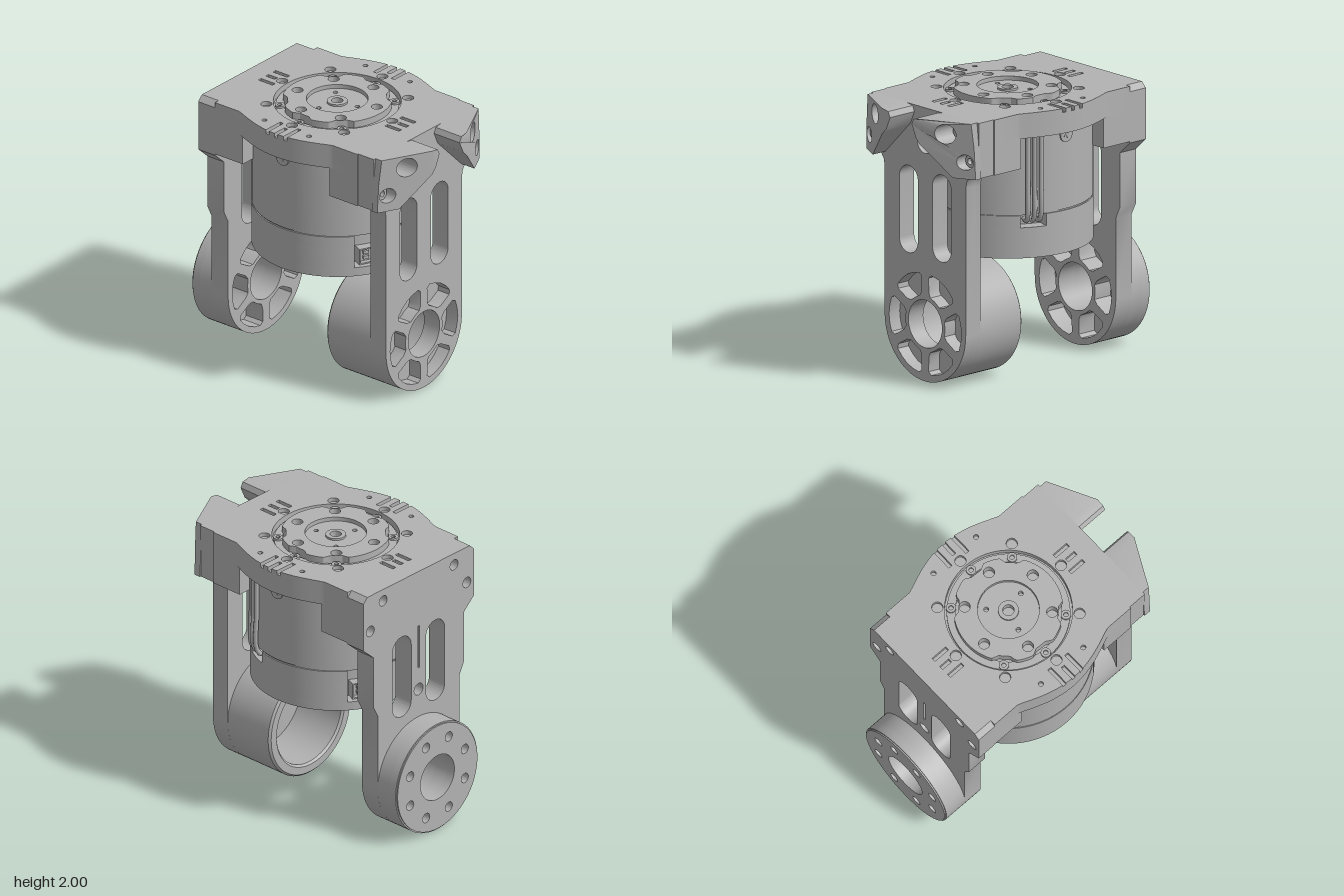
import * as THREE from 'three';
import { toCreasedNormals } from 'three/addons/utils/BufferGeometryUtils.js';

const metal = new THREE.MeshStandardMaterial({ color: 0xb2b2b2 });
metal.name = 'grey metal';
const CX = -0.02; // motor axis
const rad = THREE.MathUtils.degToRad;

export function createModel() {
  const model = new THREE.Group();
  const add = (name, geo, parent = model) => {
    const m = new THREE.Mesh(geo, metal);
    m.name = name;
    parent.add(m);
    return m;
  };
  const poly = pts => new THREE.Shape(pts.map(p => new THREE.Vector2(...p)));
  const circle = (x, y, r) => new THREE.Shape().absarc(x, y, r, 0, Math.PI * 2, false);
  const rect = (x0, y0, x1, y1) => poly([[x0, y0], [x1, y0], [x1, y1], [x0, y1]]);
  const slot = (x, y0, y1, r) => new THREE.Shape()
    .absarc(x, y1 - r, r, 0, Math.PI, false).absarc(x, y0 + r, r, Math.PI, Math.PI * 2, false);
  const extrude = (shape, holes, depth) => {
    const s = shape.clone();
    s.holes = [...holes];
    return new THREE.ExtrudeGeometry(s, { depth, bevelEnabled: false, curveSegments: 32 });
  };
  // shape drawn in (-z, y), pushed along x
  const alongX = (shape, holes, x0, x1) =>
    toCreasedNormals(extrude(shape, holes, x1 - x0).rotateY(Math.PI / 2).translate(x0, 0, 0), 0.5);
  // shape drawn in (x, -z), pushed upward
  const alongY = (shape, holes, y0, y1) =>
    toCreasedNormals(extrude(shape, holes, y1 - y0).rotateX(-Math.PI / 2).translate(0, y0, 0), 0.5);
  const box = (x0, x1, y0, y1, z0, z1) => new THREE.BoxGeometry(x1 - x0, y1 - y0, z1 - z0)
    .translate((x0 + x1) / 2, (y0 + y1) / 2, (z0 + z1) / 2);

  // ---- legs ----
  const AY = 0.42, R = 0.415;
  const legOutline = half => {
    const s = new THREE.Shape().absarc(0, AY, R, Math.PI, Math.PI * 2, false);
    half.forEach(p => s.lineTo(...p));
    [...half].reverse().forEach(([u, v]) => s.lineTo(-u, v));
    return s;
  };
  const bore = circle(0, AY, 0.172);
  const slots = [-0.17, 0.17].map(u => slot(u, 0.9, 1.53, 0.095));
  const pockets = [0, 60, 120, 180, 240, 300].map(a => {
    const p = (r, d) => [r * Math.cos(rad(a + d)), AY + r * Math.sin(rad(a + d))];
    return poly([p(0.34, -24), p(0.365, -20), p(0.368, -10), p(0.37, 0), p(0.368, 10), p(0.365, 20),
      p(0.34, 24), p(0.235, 21), p(0.205, 15), p(0.202, 0), p(0.205, -15), p(0.235, -21)]);
  });
  const boltSpots = [[0.36, 1.89], [0.49, 1.7]];

  // left leg with hollow boss on the inside
  const left = legOutline([[R, 1.48], [0.425, 1.53], [0.455, 1.57], [0.5, 1.58], [0.55, 1.58], [0.55, 1.98]]);
  const sight = circle(0, 1.73, 0.08);
  add('leftLegFace', alongX(left, [bore, ...slots, ...pockets, sight], 0.66, 0.76));
  add('leftLegBack', alongX(left, [bore, ...slots, sight], 0.62, 0.66));
  const bossProfile = [[0.33, 0.235], [0.345, 0.22], [0.4, 0.22], [R, 0.235], [R, 0.63], [0.33, 0.63], [0.33, 0.235]]
    .map(p => new THREE.Vector2(...p));
  add('leftBossRing', toCreasedNormals(
    new THREE.LatheGeometry(bossProfile, 64).rotateZ(-Math.PI / 2).translate(0, AY, 0), 0.5));

  // right leg with drilled disc on the outside
  const right = legOutline([[R, 1.0], [0.46, 1.09], [0.46, 1.48], [0.56, 1.57], [0.56, 1.94], [0.52, 1.98]]);
  const cornerHoles = [-1, 1].flatMap(s => boltSpots.map(([u, v]) => circle(s * u, v, 0.04)));
  add('rightLeg', alongX(right, [bore, ...slots, ...pockets, ...cornerHoles,
    circle(0, 1.05, 0.045), rect(-0.008, 1.22, 0.008, 1.55)], -0.81, -0.66));
  const disc = circle(0, AY, R);
  const discHoles = Array.from({ length: 8 }, (_, i) => {
    const a = rad(22.5 + i * 45);
    return circle(0.3 * Math.cos(a), AY + 0.3 * Math.sin(a), 0.036);
  });
  add('rightDisc', alongX(disc, [bore], -0.92, -0.81));
  add('rightDiscFace', alongX(disc, [bore, ...discHoles], -0.98, -0.92));
  add('rightDiscRim', alongX(circle(0, AY, 0.405), [bore, ...discHoles], -0.99, -0.98));

  // slanted clamp blocks with recessed bolts
  const clamp = [[0.19, 1.98], [0.13, 1.97], [0.11, 1.93], [0.15, 1.84], [0.19, 1.8],
    [0.41, 1.58], [0.56, 1.58], [0.55, 1.8], [0.53, 1.98]];
  for (const s of [-1, 1]) {
    const geo = extrude(poly(clamp.map(([u, v]) => [s * u, v])),
      [circle(s * 0.36, 1.89, 0.07), circle(s * 0.49, 1.7, 0.055)], 0.25)
      .rotateY(Math.PI / 2).translate(0.75, 0, 0);
    const p = geo.attributes.position;
    for (let i = 0; i < p.count; i++) {
      if (p.getX(i) > 0.9) p.setX(i, Math.min(0.99, 0.8 + (0.56 - Math.abs(p.getZ(i))) * 0.514));
    }
    add('clampBlock', toCreasedNormals(geo, 0.5));
    for (const [u, v] of boltSpots) {
      add('clampBolt', alongX(circle(s * u, v, 0.045), [circle(s * u, v, 0.022)], 0.755, 0.79));
    }
  }

  // ---- top plate ----
  const edge = x => {
    const t = Math.min(1, Math.abs((x - CX) / 0.425));
    return 0.56 + 0.11 * Math.pow(1 - t * t, 1.2);
  };
  const plate = notched => {
    const front = [[-0.66, 0.56]];
    for (let i = 0; i <= 40; i++) {
      const x = CX - 0.425 + 0.85 * i / 40;
      const near = [-0.08, 0, 0.08].some(d => Math.abs(x - CX - d) < 0.018);
      if (!notched || !near) front.push([x, edge(x)]);
    }
    if (notched) for (const d of [-0.08, 0, 0.08]) {
      const a = CX + d - 0.015, b = CX + d + 0.015, depth = d ? 0.51 : 0.56;
      const at = front.findIndex(q => q[0] > a);
      front.splice(at, 0, [a, edge(a)], [a, depth], [b, depth], [b, edge(b)]);
    }
    front.push([0.62, 0.56]);
    return poly([...front, ...front.map(([x, z]) => [x, -z]).reverse()]);
  };
  const opening = circle(CX, 0, 0.445);
  const ringHoles = Array.from({ length: 8 }, (_, i) =>
    circle(CX + 0.495 * Math.cos(i * Math.PI / 4), 0.495 * Math.sin(i * Math.PI / 4), 0.039));
  const pinHoles = [-1, 1].flatMap(a => [-1, 1].map(b => circle(CX + a * 0.2, b * 0.553, 0.018)));
  const sideSlots = [-1, 1].flatMap(s => [-0.08, 0, 0.08].map(z => {
    const a = CX + s * (z ? 0.505 : 0.55), b = CX + s * 0.632;
    return rect(Math.min(a, b), z - 0.015, Math.max(a, b), z + 0.015);
  }));
  add('topPlate', alongY(plate(false), [opening], 1.8, 1.95));
  add('topPlateFace', alongY(plate(true), [opening, ...ringHoles, ...pinHoles, ...sideSlots], 1.95, 1.98));
  add('rightPlateSkirt', box(-0.66, -0.41, 1.58, 1.8, -0.56, 0.56));
  add('leftPlateSkirt', box(0.37, 0.62, 1.58, 1.8, -0.56, 0.56));

  // ---- motor body, in slabs with side notches ----
  const ports = [[-39, -10], [141, 170]];
  const cableGap = [56, 74];
  const round = (r, gaps = []) => {
    const pts = [];
    for (let a = -60; a < 300; a += 3) {
      pts.push(a);
    }
    gaps.forEach(([a, b]) => pts.push(a, a + 0.01, b - 0.01, b));
    pts.sort((a, b) => a - b);
    return poly(pts.map(a => {
      const q = gaps.some(([g, h]) => a > g && a < h) ? 0.5 : r;
      return [CX + q * Math.cos(rad(a)), q * Math.sin(rad(a))];
    }));
  };
  add('motorBase', alongY(round(0.597), [], 0.91, 0.975));
  add('motorLowerBand', alongY(round(0.597, ports), [], 0.975, 1.13));
  add('motorMiddleBand', alongY(round(0.597, [...ports, cableGap]), [], 1.13, 1.218));
  add('motorSeam', alongY(round(0.587), [], 1.218, 1.228));
  add('motorUpperBody', alongY(round(0.595), [], 1.228, 1.93));

  // connectors in the side notches
  for (const turn of [-25, 155]) {
    const port = new THREE.Group();
    port.name = 'connector';
    add('connectorBack', box(0.48, 0.53, 0.98, 1.1, -0.1, 0.1), port);
    add('connectorFrame', alongX(rect(-0.1, 0.98, 0.1, 1.1),
      [rect(-0.09, 0.99, 0.015, 1.09), rect(0.025, 0.99, 0.09, 1.09)], 0.53, 0.565), port);
    for (const y of [1.02, 1.06]) add('connectorPin', box(0.53, 0.55, y - 0.012, y + 0.012, 0.02, 0.06), port);
    port.position.x = CX;
    port.rotation.y = rad(turn);
    model.add(port);
  }

  // cable strands down the back
  for (const d of [-4.5, 0, 4.5]) {
    const a = rad(65 + d);
    const at = (r, y) => new THREE.Vector3(CX + r * Math.cos(a), y, -r * Math.sin(a));
    const path = new THREE.CatmullRomCurve3([at(0.5, 1.17), at(0.58, 1.175), at(0.615, 1.23), at(0.615, 1.5), at(0.615, 1.82)]);
    add('cableStrand', new THREE.TubeGeometry(path, 24, 0.018, 8));
  }

  // four cross-head screws around the body
  for (let i = 0; i < 4; i++) {
    const screw = new THREE.Group();
    screw.name = 'bodyScrew';
    add('screwHead', new THREE.CylinderGeometry(0.055, 0.055, 0.03, 24).rotateZ(-Math.PI / 2).translate(0.59, 1.765, 0), screw);
    for (const t of [0.4, 0.4 + Math.PI / 2]) {
      add('screwCross', new THREE.BoxGeometry(0.006, 0.055, 0.012).rotateX(t).translate(0.605, 1.765, 0), screw);
    }
    screw.position.x = CX;
    screw.rotation.y = i * Math.PI / 2;
    model.add(screw);
  }

  // underside: pin row, foot and screws
  for (let i = 0; i < 8; i++) {
    const t = (i - 3.5) * 0.052;
    add('bottomPin', new THREE.BoxGeometry(0.025, 0.012, 0.06).rotateY(rad(-30))
      .translate(0.08 + t * 0.87, 0.906, -0.25 + t * 0.5));
  }
  add('bottomFoot', new THREE.CylinderGeometry(0.075, 0.065, 0.02, 24).translate(-0.255, 0.902, 0.43));
  for (const a of [27, 72, 162, 207, 252, 342]) {
    add('bottomScrew', alongY(circle(CX + 0.51 * Math.cos(rad(a)), -0.51 * Math.sin(rad(a)), 0.035),
      [circle(CX + 0.51 * Math.cos(rad(a)), -0.51 * Math.sin(rad(a)), 0.018)], 0.904, 0.912));
  }

  // ---- output horn ----
  const dips = [44, 88, 134, 223, 268, 314];
  const hornPts = [];
  for (let a = 0; a < 360; a += 3) {
    const near = Math.min(...dips.map(d => Math.abs(a - d)));
    const r = 0.382 - 0.035 * THREE.MathUtils.smoothstep(14 - near, 0, 8);
    hornPts.push([CX + r * Math.cos(rad(a)), r * Math.sin(rad(a))]);
  }
  const polarHole = (r, deg, size) => circle(CX + r * Math.cos(rad(deg)), r * Math.sin(rad(deg)), size);
  const hornHoles = [0, 1, 2, 3, 4, 5].map(i => polarHole(0.305, 14 + i * 60, 0.039));
  add('horn', alongY(poly(hornPts), [circle(CX, 0, 0.215), ...hornHoles], 1.925, 2.0));
  add('hornRecess', alongY(circle(CX, 0, 0.216),
    [circle(CX, 0, 0.06), ...[14, 134, 254].map(a => polarHole(0.155, a, 0.017))], 1.925, 1.97));
  add('hornHub', alongY(circle(CX, 0, 0.072), [circle(CX, 0, 0.04)], 1.925, 1.985));
  add('hornCollar', alongY(circle(CX, 0, 0.43), [circle(CX, 0, 0.37)], 1.925, 1.95));
  for (const a of dips) add('hornScrew', alongY(polarHole(0.4, a, 0.035), [polarHole(0.4, a, 0.016)], 1.94, 1.965));

  return model;
}
